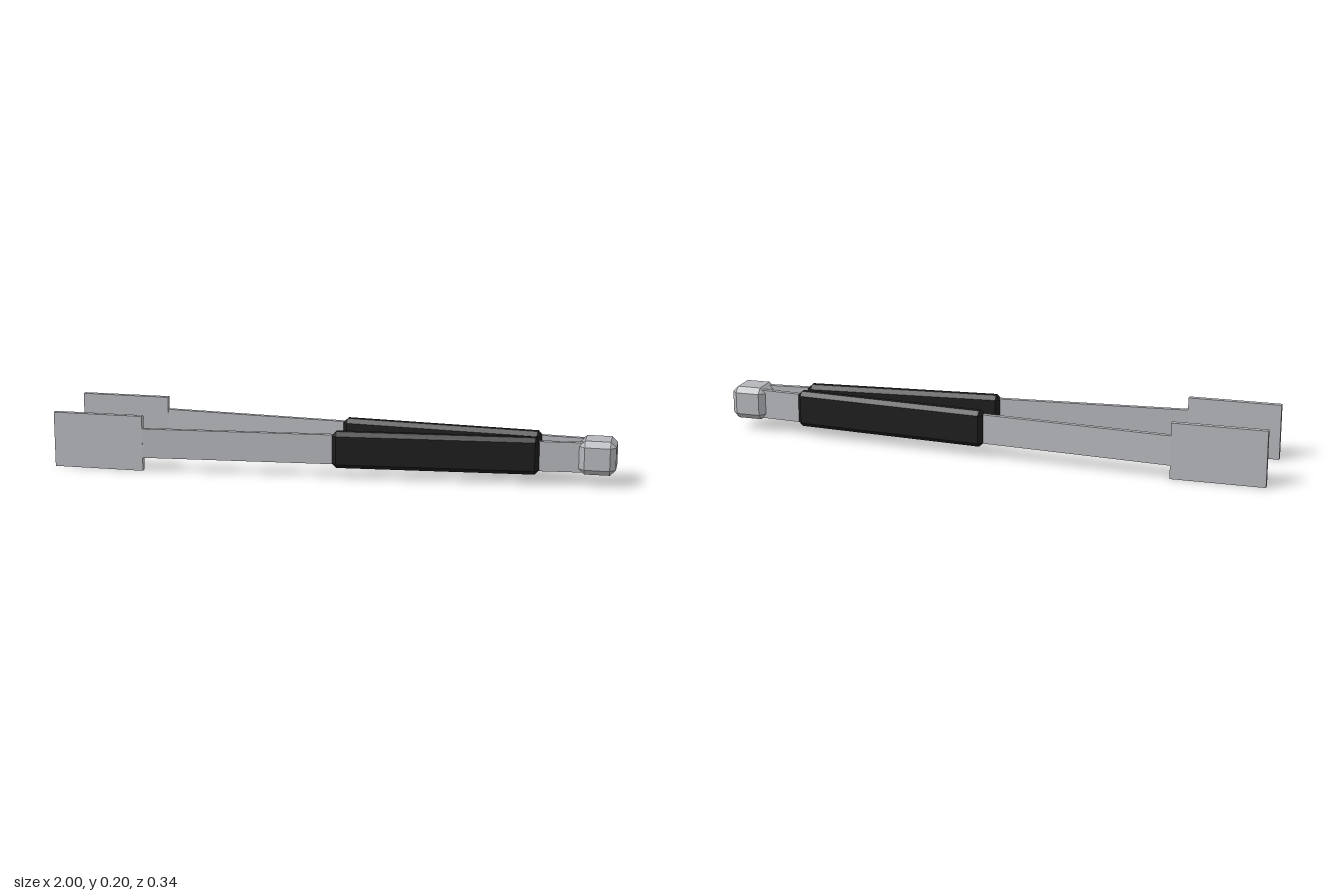
import * as THREE from 'three';
import { ConvexGeometry } from 'three/addons/geometries/ConvexGeometry.js';

const MID_Y = 0.101;

// Box with every edge and corner cut off by c
function chamferedBox(w, h, d, c) {
  const points = [];
  for (const sx of [-1, 1]) for (const sy of [-1, 1]) for (const sz of [-1, 1]) {
    const x = w / 2, y = h / 2, z = d / 2;
    points.push(
      new THREE.Vector3(sx * x, sy * (y - c), sz * (z - c)),
      new THREE.Vector3(sx * (x - c), sy * y, sz * (z - c)),
      new THREE.Vector3(sx * (x - c), sy * (y - c), sz * z));
  }
  return new ConvexGeometry(points);
}

export function createModel() {
  const metal = new THREE.MeshStandardMaterial({ color: 0xb4b6ba });
  metal.name = 'brushed metal';
  const rubber = new THREE.MeshStandardMaterial({ color: 0x1c1c1c });
  rubber.name = 'black rubber';

  const model = new THREE.Group();
  model.name = 'tongs';
  const add = (parent, name, geometry, material, x, y, z) => {
    const mesh = new THREE.Mesh(geometry, material);
    mesh.name = name;
    mesh.position.set(x, y, z);
    parent.add(mesh);
    return mesh;
  };

  // Two mirrored legs converging on the hinge
  const slope = Math.atan(0.08);
  for (const side of [1, -1]) {
    const leg = new THREE.Group();
    leg.name = side > 0 ? 'frontLeg' : 'backLeg';
    model.add(leg);

    // Flat gripping paddle
    add(leg, 'paddle', new THREE.BoxGeometry(0.33, 0.2, 0.02), metal, -0.835, 0.1, side * 0.158);

    // Slanted arm with its sleeve, placed at the arm's midpoint
    const slanted = new THREE.Group();
    slanted.name = 'slantedArm';
    slanted.position.set(0.11, MID_Y, side * 0.096);
    slanted.rotation.y = side * slope;
    leg.add(slanted);
    add(slanted, 'arm', new THREE.BoxGeometry(1.58, 0.106, 0.018), metal, 0, 0, 0);
    add(slanted, 'gripSleeve', chamferedBox(0.726, 0.132, 0.05, 0.015), rubber, 0.264, 0, 0);
  }

  // Hinge block joining the legs
  add(model, 'hingeBlock', chamferedBox(0.128, 0.12, 0.128, 0.02), metal, 0.936, 0.102, 0);

  return model;
}
